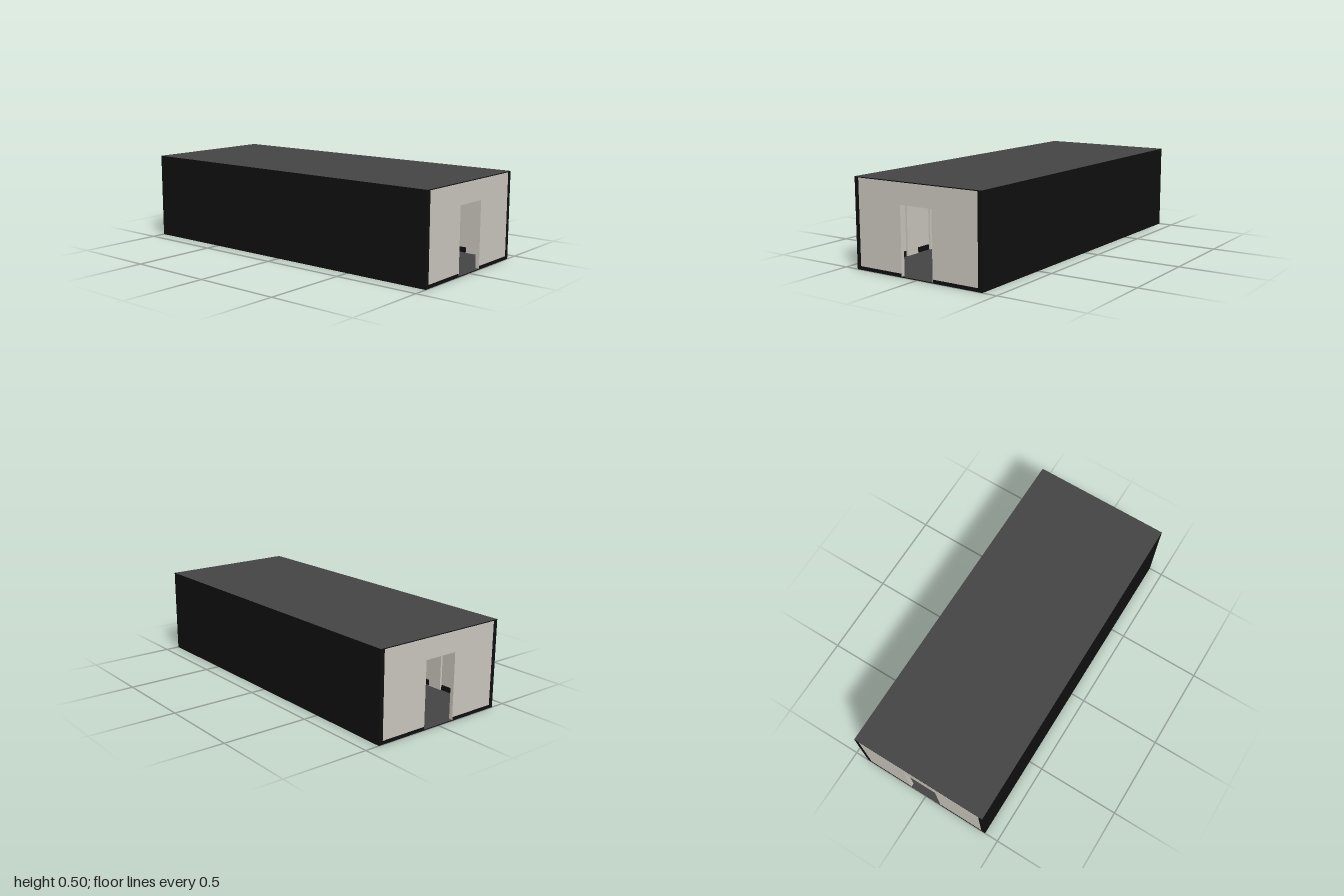
import * as THREE from 'three';

const mat = (name, color) => Object.assign(new THREE.MeshStandardMaterial({ color }), { name });

export function createModel() {
  const black = mat('black shell', 0x0f0f0f);
  const grey = mat('dark grey', 0x444444);
  const beige = mat('warm light grey', 0xc8c4bc);

  const W = 0.415, H = 0.505, L = 1, T = 0.025, SLAB = 0.005;
  const model = new THREE.Group();
  model.name = 'corridorRoom';

  const box = (name, w, h, d, x, y, z, material, parent = model) => {
    const m = new THREE.Mesh(new THREE.BoxGeometry(w, h, d), material);
    m.name = name;
    m.position.set(x, y, z);
    parent.add(m);
    return m;
  };

  // Floor and roof slabs: grey faces with black edges
  const slab = [black, black, grey, grey, black, black];
  box('floor', 2 * W, SLAB, 2 * L, 0, SLAB / 2, 0, slab);
  box('roof', 2 * W, SLAB, 2 * L, 0, H - SLAB / 2, 0, slab);

  // Side walls with an inner lining, pilasters, skirting and vents
  const inner = H - 2 * SLAB;
  for (const s of [1, -1]) {
    const side = new THREE.Group();
    side.name = s > 0 ? 'leftWall' : 'rightWall';
    model.add(side);
    box('outerWall', T, inner, 2 * L, s * (W - T / 2), H / 2, 0, black, side);
    box('wallLining', 0.008, inner, 2 * L - 0.05, s * (W - T - 0.004), H / 2, 0, beige, side);
    for (let i = 0; i < 9; i++) {
      const z = -0.8 + i * 0.2;
      box('pilaster', 0.012, inner, 0.09, s * 0.376, H / 2, z, beige, side);
      if (i === 8) continue;
      box('skirting', 0.006, 0.03, 0.1, s * 0.379, SLAB + 0.015, z + 0.1, black, side);
      for (let j = 0; j < 3; j++)
        box('ventSlat', 0.004, 0.012, 0.08, s * 0.38, 0.4 + j * 0.022, z + 0.1, black, side);
    }
  }

  // End walls, each with an open doorway
  const wall = new THREE.Shape();
  [[-0.39, 0.02], [-0.105, 0.02], [-0.105, 0.383], [0.105, 0.383], [0.105, 0.02],
    [0.39, 0.02], [0.39, 0.5], [-0.39, 0.5]]
    .forEach(([x, y], i) => (i ? wall.lineTo(x, y) : wall.moveTo(x, y)));
  const wallGeo = new THREE.ExtrudeGeometry(wall, { depth: 0.022, bevelEnabled: false });
  for (const s of [1, -1]) {
    const end = new THREE.Group();
    end.name = s > 0 ? 'frontWall' : 'backWall';
    end.rotation.y = s > 0 ? 0 : Math.PI;
    model.add(end);
    const panel = new THREE.Mesh(wallGeo, beige);
    panel.name = 'endPanel';
    panel.position.z = L - 0.023;
    end.add(panel);
    for (const k of [1, -1]) {
      box('baseStrip', 0.285, 0.015, 0.022, k * 0.2475, 0.0125, L - 0.011, black, end);
      box('doorJamb', 0.002, 0.378, 0.022, k * 0.104, 0.194, L - 0.012, beige, end);
    }
  }
  return model;
}
